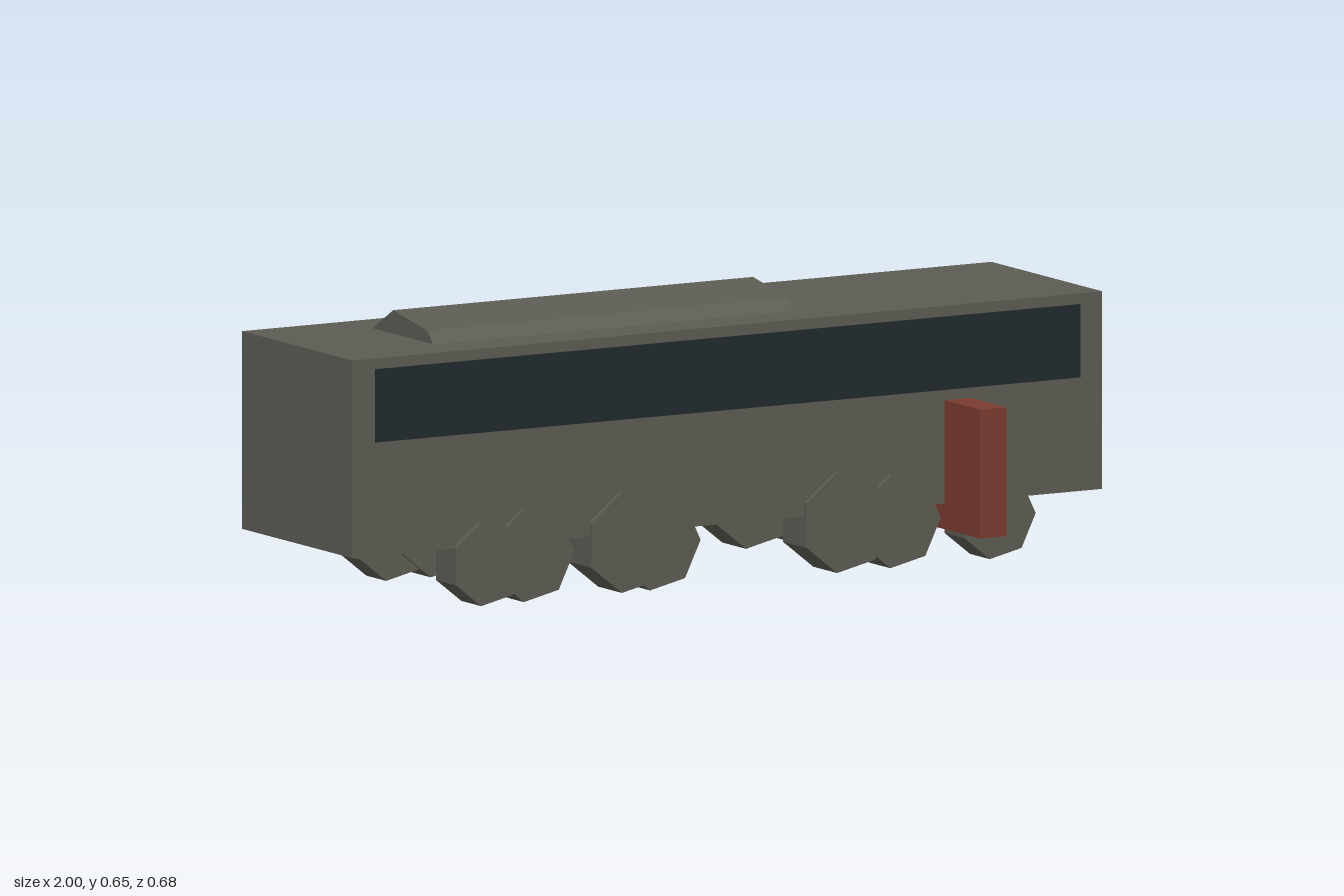
import * as THREE from 'three';

const paint = (color) => new THREE.MeshStandardMaterial({ color, flatShading: true });

export function createModel() {
  const model = new THREE.Group();
  const hull = paint(0x5c5b53);
  const glass = paint(0x20292d);
  const red = paint(0x7a3b30);

  const add = (name, geometry, material, x, y, z) => {
    const mesh = new THREE.Mesh(geometry, material);
    mesh.name = name;
    mesh.position.set(x, y, z);
    model.add(mesh);
    return mesh;
  };

  const bodyZ = -0.07; // body centre line, offset from the cross beam
  add('body', new THREE.BoxGeometry(2, 0.46, 0.5), hull, 0, 0.37, bodyZ);

  // Roof hump: four-point section swept along x (section x is -z)
  const section = new THREE.Shape([
    [-0.07, 0.6], [0.205, 0.6], [0.11, 0.655], [-0.045, 0.628],
  ].map(([u, v]) => new THREE.Vector2(u, v)));
  const hump = new THREE.ExtrudeGeometry(section, { depth: 0.96, bevelEnabled: false });
  hump.rotateY(Math.PI / 2);
  add('roofHump', hump, hull, -0.72, 0, 0);

  // Red beam running right through the body
  add('crossBeam', new THREE.BoxGeometry(0.07, 0.3, 0.68), red, 0.615, 0.23, 0);

  // Seven-sided wheels: [x, radius]; each rests on the ground
  const wheels = [
    [-0.64, 0.1], [-0.524, 0.11], [-0.26, 0.12], [-0.187, 0.11],
    [0.314, 0.12], [0.454, 0.11], [0.717, 0.1],
  ];
  for (const side of [1, -1]) {
    const sideName = side > 0 ? 'front' : 'back';
    add(sideName + 'Window', new THREE.BoxGeometry(1.88, 0.17, 0.01), glass, 0, 0.49, bodyZ + side * 0.25);

    wheels.forEach(([x, r], i) => {
      const width = 0.9 * r;
      const wheel = new THREE.CylinderGeometry(r, r, width, 7, 1, false, Math.PI / 2);
      wheel.rotateX(Math.PI / 2);
      add(`${sideName}Wheel${i + 1}`, wheel, hull, x, r, bodyZ + side * (0.26 - width / 2));
    });
  }

  return model;
}
